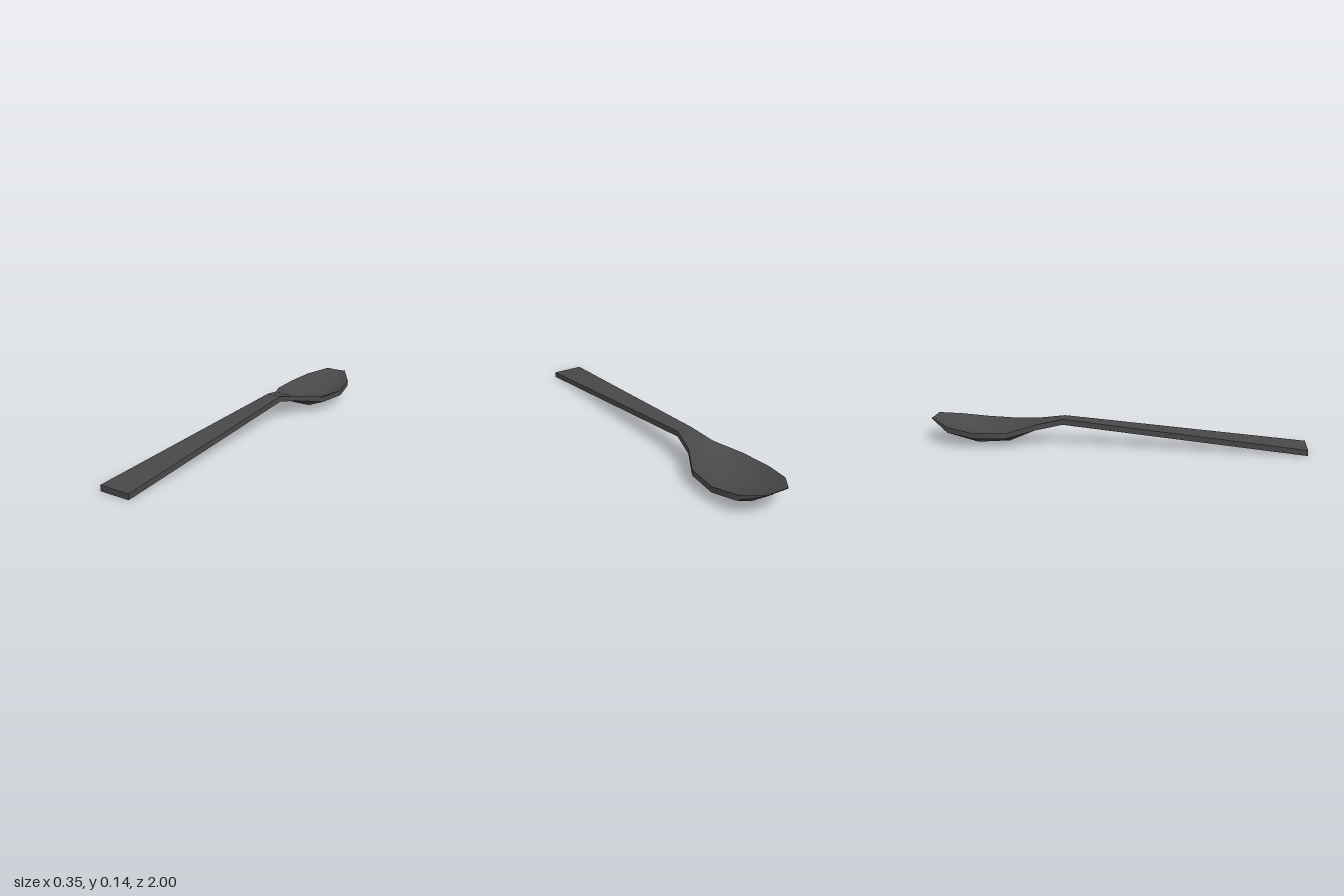
import * as THREE from 'three';
import { toCreasedNormals } from 'three/addons/utils/BufferGeometryUtils.js';

// Cross-sections from handle end to bowl tip:
// z, half width, inner half width, rim top y, centre top y, thickness
const SECTIONS = [
  [1.0, 0.085, 0.04, 0.03, 0.03, 0.03],
  [-0.285, 0.043, 0.02, 0.14, 0.14, 0.03],
  [-0.425, 0.075, 0.033, 0.114, 0.107, 0.03],
  [-0.57, 0.155, 0.06, 0.085, 0.048, 0.03],
  [-0.745, 0.173, 0.063, 0.085, 0.035, 0.03],
  [-0.89, 0.142, 0.055, 0.104, 0.073, 0.03],
  [-1.0, 0.06, 0.025, 0.13, 0.128, 0.004],
];

// Eight points: across the top from left to right, then back underneath
function ring([z, w, inner, rim, centre, t]) {
  const top = [[-w, rim, z], [-inner, centre, z], [inner, centre, z], [w, rim, z]];
  const under = top.map(([x, y]) => [x, y - t, z]).reverse();
  return [...top, ...under];
}

// Skin the sections into one closed solid
function loft(sections) {
  const rings = sections.map(ring);
  const pos = [];
  const quad = (a, b, c, d) => pos.push(...a, ...b, ...c, ...a, ...c, ...d);
  for (let i = 0; i < rings.length - 1; i++) {
    const p = rings[i], q = rings[i + 1];
    for (let j = 0; j < 8; j++) {
      const k = (j + 1) % 8;
      quad(p[j], p[k], q[k], q[j]);
    }
  }
  // End caps
  const f = rings[0], b = rings[rings.length - 1];
  quad(f[7], f[4], f[3], f[0]);
  quad(b[0], b[3], b[4], b[7]);
  const geo = new THREE.BufferGeometry();
  geo.setAttribute('position', new THREE.Float32BufferAttribute(pos, 3));
  return toCreasedNormals(geo, THREE.MathUtils.degToRad(42));
}

export function createModel() {
  const group = new THREE.Group();
  group.name = 'spoon';
  const darkMetal = new THREE.MeshStandardMaterial({ color: 0x484848 });
  darkMetal.name = 'dark metal';

  // Handle and bowl are one continuous piece
  const body = new THREE.Mesh(loft(SECTIONS), darkMetal);
  body.name = 'handleAndBowl';
  group.add(body);
  return group;
}
